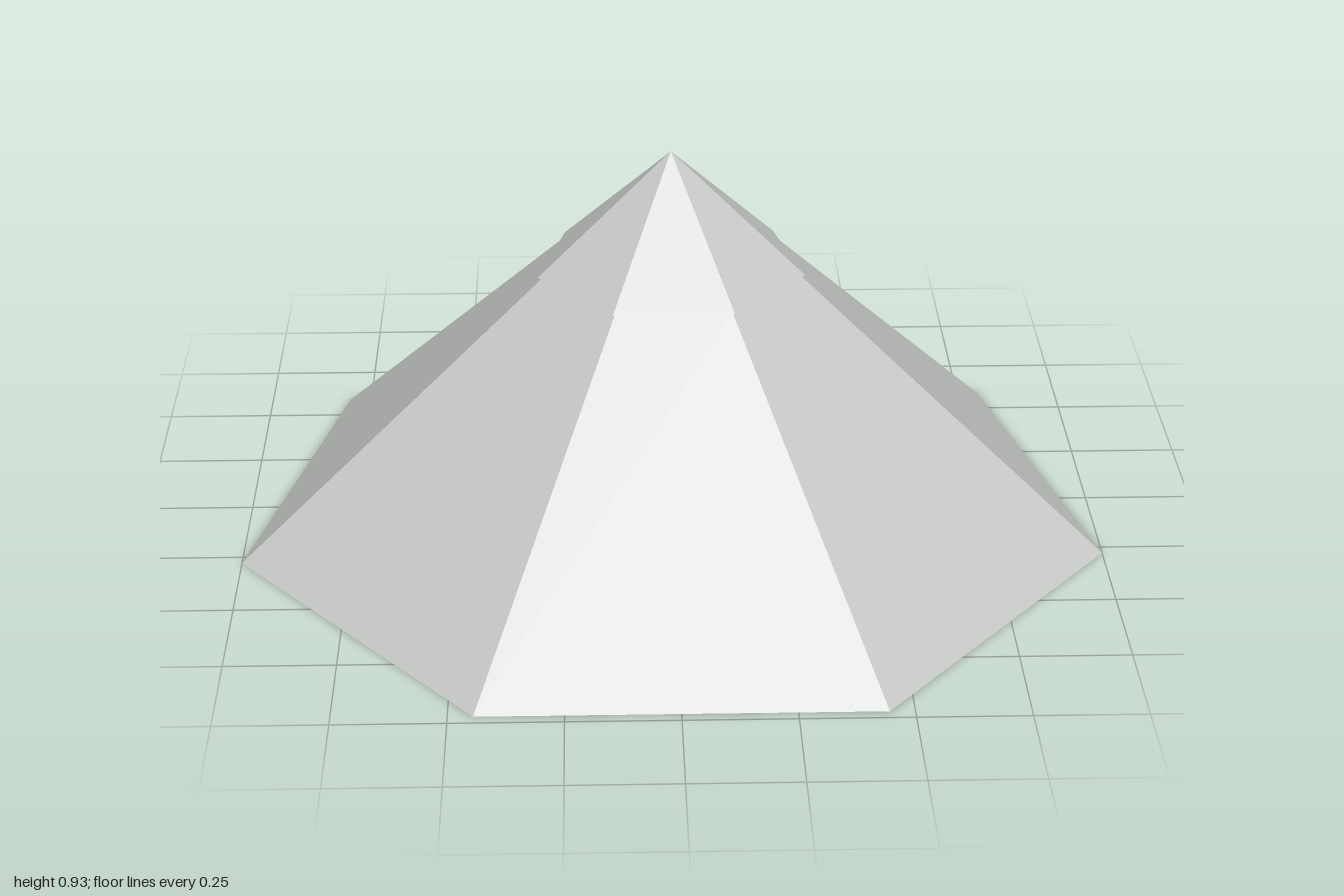
import * as THREE from 'three';

const SIDES = 7;
const CENTER_Z = 0.05;

export function createModel() {
  const group = new THREE.Group();
  const paleGrey = new THREE.MeshStandardMaterial({ color: 0xc9cbc9, flatShading: true });
  paleGrey.name = 'paleGrey';

  // seven-sided tier with one corner pointing straight back
  function tier(name, topRadius, bottomRadius, bottomY, topY) {
    const height = topY - bottomY;
    const geometry = new THREE.CylinderGeometry(topRadius, bottomRadius, height, SIDES, 1, false, Math.PI);
    geometry.translate(0, bottomY + height / 2, CENTER_Z);
    const mesh = new THREE.Mesh(geometry, paleGrey);
    mesh.name = name;
    group.add(mesh);
  }

  // broad lower slope
  tier('lowerSlope', 0.301, 1.026, 0, 0.645);
  // pointed cap, slightly overhanging the slope
  tier('pointedCap', 0, 0.314, 0.645, 0.925);

  return group;
}
